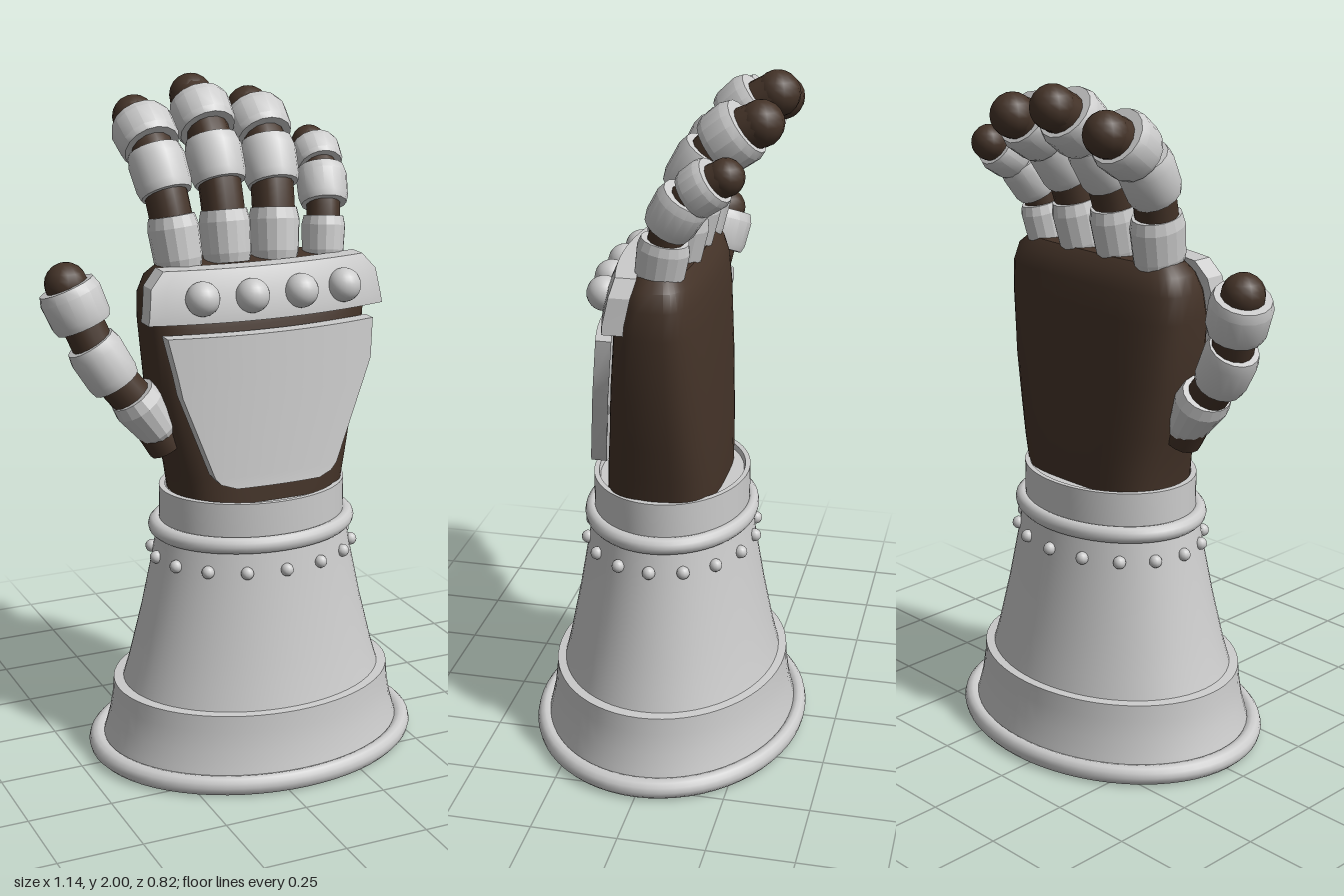
import * as THREE from 'three';
import { toCreasedNormals } from 'three/addons/utils/BufferGeometryUtils.js';

const metal = new THREE.MeshStandardMaterial({ color: 0xcccccc });
const leather = new THREE.MeshStandardMaterial({ color: 0x443328 });
const UP = new THREE.Vector3(0, 1, 0);

function add(parent, name, geometry, material = metal) {
  const mesh = new THREE.Mesh(geometry, material);
  mesh.name = name;
  parent.add(mesh);
  return mesh;
}

function lathe(points, sides, crease = 0.5) {
  const g = new THREE.LatheGeometry(points.map(([r, y]) => new THREE.Vector2(r, y)), sides);
  return toCreasedNormals(g, crease);
}

function moveVertices(geometry, rule) {
  const p = geometry.attributes.position;
  const v = new THREE.Vector3();
  for (let i = 0; i < p.count; i++) {
    rule(v.fromBufferAttribute(p, i));
    p.setXYZ(i, v.x, v.y, v.z);
  }
  return geometry;
}

// Curved plate from rows of [y, left x, right x, front z], bottom to top
function curvedPlate(rows, thickness, bend) {
  const n = rows.length - 1;
  const g = new THREE.BoxGeometry(1, 1, 1, 16, n, 1);
  moveVertices(g, (v) => {
    const [y, x0, x1, zf] = rows[Math.round((v.y + 0.5) * n)];
    const x = x0 + (x1 - x0) * (v.x + 0.5);
    v.set(x, y, zf - bend * (x - 0.055) ** 2 + (v.z - 0.5) * thickness);
  });
  return toCreasedNormals(g, 0.4);
}

// Palm from rounded-box sections [y, left x, right x, back z, front z], bottom to top
function palmGeometry(rows) {
  const n = rows.length - 1;
  const g = new THREE.CylinderGeometry(1, 1, 1, 40, n);
  const soften = (c) => Math.sign(c) * Math.abs(c) ** 0.62;
  moveVertices(g, (v) => {
    const [y, x0, x1, z0, z1] = rows[Math.round((v.y + 0.5) * n)];
    v.set((x0 + x1) / 2 + soften(v.x) * (x1 - x0) / 2, y,
      (z0 + z1) / 2 + soften(v.z) * (z1 - z0) / 2);
  });
  return toCreasedNormals(g, 0.6);
}

// Finger: leather core along a curve, three armour shells [radius, half length], rounded tip
function buildFinger(name, path, shells, core, baseTaper) {
  const finger = new THREE.Group();
  finger.name = name;
  const pts = path.map((p) => new THREE.Vector3(...p));
  const curve = new THREE.CatmullRomCurve3(pts);
  add(finger, 'fingerCore', new THREE.TubeGeometry(curve, 24, core, 14), leather);
  add(finger, 'fingerTip', new THREE.SphereGeometry(core * 1.03, 14, 10), leather)
    .position.copy(pts[4]);
  shells.forEach(([r, h], i) => {
    const low = i === 0 ? baseTaper : 0.93;
    const inner = core * 0.8;
    const g = lathe([
      [Math.min(inner, r * low * 0.8), -h], [r * low * 0.95, -h], [r * (low + 1) / 2, -h * 0.65],
      [r, h * 0.55], [r * 0.9, h], [inner, h],
    ], 16, 0.5);
    if (i === 0) {
      // Base shell is deeper, and its palm side reaches down to a point
      moveVertices(g, (v) => {
        if (v.y < -h * 0.9 && v.z < 0) v.y += v.z * 0.7;
        v.z *= 1.18;
      });
      g.computeVertexNormals();
    }
    const shell = add(finger, 'fingerShell', g);
    shell.position.copy(pts[i + 1]);
    shell.quaternion.setFromUnitVectors(UP, curve.getTangent((i + 1) / 4));
  });
  return finger;
}

export function createModel() {
  const model = new THREE.Group();
  model.name = 'gauntlet';

  // Oval cuff
  const cuff = new THREE.Group();
  cuff.name = 'cuff';
  cuff.position.x = 0.055;
  cuff.scale.z = 0.8;
  model.add(cuff);
  add(cuff, 'cuffSkirt', lathe([
    [0.43, 0.02], [0.47, 0.03], [0.458, 0.07], [0.444, 0.12], [0.434, 0.18], [0.43, 0.23],
    [0.40, 0.232], [0.405, 0.15], [0.43, 0.02],
  ], 64));
  add(cuff, 'cuffCone', lathe([
    [0, 0.225], [0.402, 0.225], [0.382, 0.29], [0.362, 0.37], [0.342, 0.45], [0.325, 0.53],
    [0.308, 0.61], [0.292, 0.7], [0.283, 0.71], [0.283, 0.835], [0.265, 0.835], [0.26, 0.82], [0, 0.82],
  ], 64));
  for (const [name, r, tube, y] of [['cuffRim', 0.481, 0.029, 0.032], ['wristRing', 0.292, 0.025, 0.712]]) {
    const ring = add(cuff, name, new THREE.TorusGeometry(r, tube, 12, 64));
    ring.rotation.x = Math.PI / 2;
    ring.position.y = y;
  }

  // Rivets around the cuff
  const rivet = new THREE.SphereGeometry(0.019, 12, 8);
  for (let i = 0; i < 16; i++) {
    const a = (i / 16) * Math.PI * 2;
    add(model, 'cuffRivet', rivet)
      .position.set(0.055 + Math.sin(a) * 0.308, 0.632, Math.cos(a) * 0.248);
  }

  // Leather palm
  add(model, 'palm', palmGeometry([
    [0.8, -0.19, 0.31, -0.165, 0.165], [0.9, -0.205, 0.33, -0.165, 0.16],
    [1.0, -0.232, 0.35, -0.16, 0.152], [1.15, -0.265, 0.378, -0.152, 0.142],
    [1.34, -0.285, 0.396, -0.14, 0.125], [1.42, -0.285, 0.396, -0.13, 0.1],
    [1.47, -0.265, 0.38, -0.115, 0.08], [1.5, -0.23, 0.345, -0.09, 0.06],
  ]), leather);

  // Plate on the back of the hand
  add(model, 'handPlate', curvedPlate([
    [0.885, -0.085, 0.175, 0.215], [0.9, -0.13, 0.215, 0.213], [0.92, -0.147, 0.235, 0.211],
    [1.155, -0.23, 0.34, 0.194], [1.21, -0.24, 0.365, 0.19], [1.325, -0.265, 0.375, 0.182],
  ], 0.045, 0.4));

  // Knuckle guard with domed studs
  add(model, 'knuckleGuard', curvedPlate([
    [1.36, -0.31, 0.42, 0.165], [1.385, -0.306, 0.416, 0.163],
    [1.46, -0.295, 0.405, 0.145], [1.505, -0.255, 0.365, 0.125],
  ], 0.06, 0.4));
  const stud = new THREE.SphereGeometry(0.049, 20, 14);
  for (const x of [-0.16, -0.015, 0.137, 0.28]) {
    add(model, 'knuckleStud', stud)
      .position.set(x, 1.43, 0.157 - 0.35 * (x - 0.055) ** 2);
  }

  // Fingers and thumb
  const large = [[0.072, 0.075], [0.083, 0.067], [0.092, 0.053]];
  const small = [[0.062, 0.06], [0.075, 0.056], [0.074, 0.042]];
  model.add(
    buildFinger('indexFinger', [[-0.16, 1.42, -0.02], [-0.17, 1.56, -0.03], [-0.19, 1.75, -0.09],
      [-0.197, 1.845, -0.18], [-0.2, 1.885, -0.26]], large, 0.062, 0.9),
    buildFinger('middleFinger', [[-0.015, 1.42, -0.02], [-0.015, 1.565, -0.03], [-0.015, 1.77, -0.1],
      [-0.015, 1.885, -0.195], [-0.015, 1.936, -0.278]], large, 0.062, 0.9),
    buildFinger('ringFinger', [[0.13, 1.42, -0.02], [0.138, 1.56, -0.03], [0.153, 1.755, -0.095],
      [0.16, 1.852, -0.185], [0.162, 1.893, -0.265]], large, 0.062, 0.9),
    buildFinger('littleFinger', [[0.285, 1.42, -0.02], [0.294, 1.54, -0.025], [0.312, 1.68, -0.07],
      [0.33, 1.755, -0.145], [0.333, 1.788, -0.205]], small, 0.05, 0.9),
    buildFinger('thumb', [[-0.22, 0.98, 0.02], [-0.28, 1.075, 0.015], [-0.405, 1.24, 0],
      [-0.474, 1.405, -0.03], [-0.495, 1.466, -0.04]],
    [[0.075, 0.08], [0.08, 0.07], [0.09, 0.06]], 0.06, 0.6),
  );
  return model;
}
